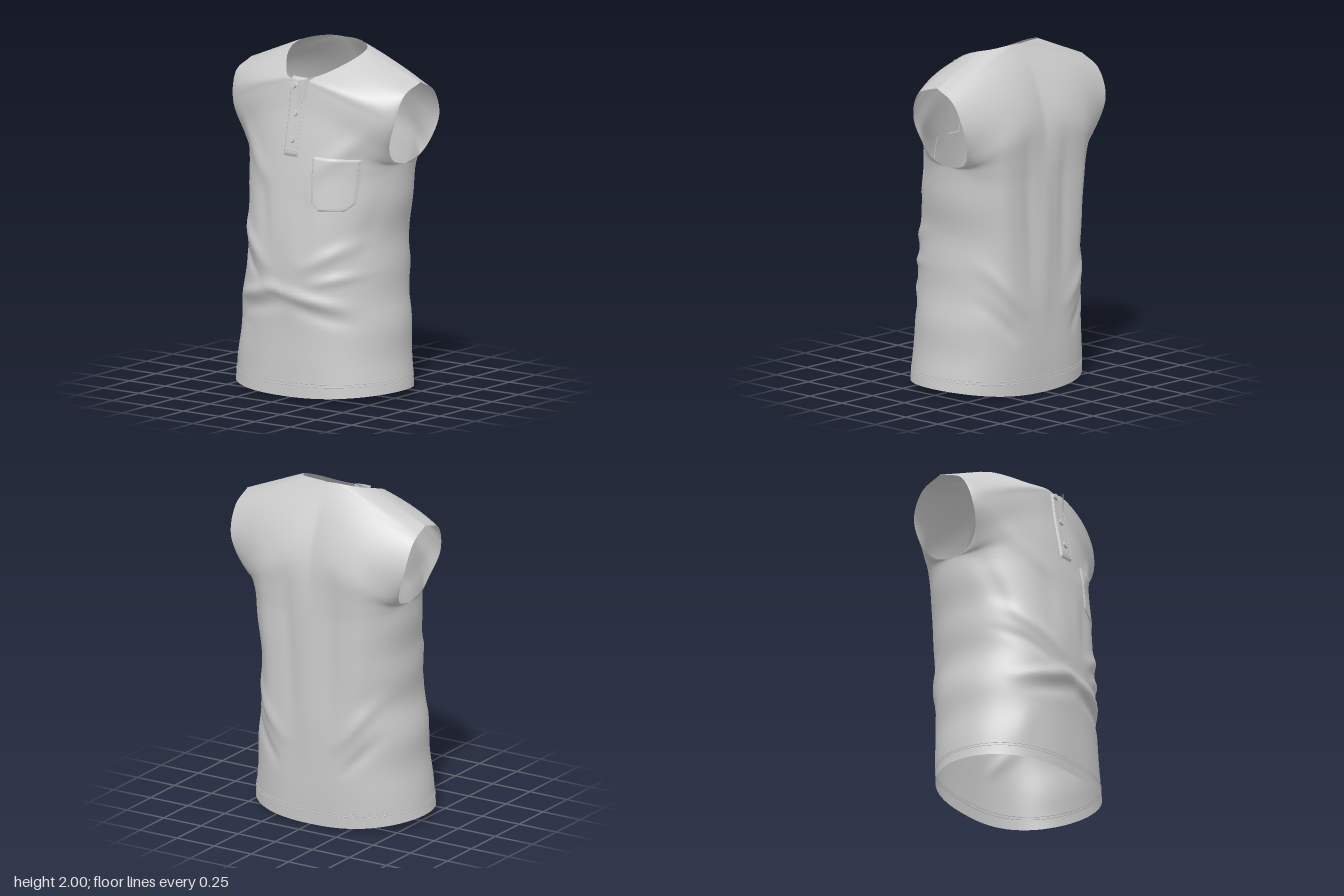
import * as THREE from 'three';
import { mergeGeometries, mergeVertices } from 'three/addons/utils/BufferGeometryUtils.js';

const V = (p) => new THREE.Vector3(...p);
const curve = (pts) => new THREE.CatmullRomCurve3(pts.map(V));
const lerp = THREE.MathUtils.lerp;
const clamp01 = (v) => Math.min(1, Math.max(0, v));
const cloth = new THREE.MeshStandardMaterial({ color: 0xcccccc, side: THREE.DoubleSide, roughness: 0.9 });

// Share of the rows that lies below the armholes
const BODY = 0.62;

// Side seam from hem to underarm, used by both panels
const sideSeam = curve([[0.535, 0.045, -0.02], [0.515, 0.2, -0.02], [0.495, 0.4, -0.03], [0.478, 0.6, -0.04],
  [0.455, 0.8, -0.05], [0.465, 1, -0.07], [0.482, 1.2, -0.09], [0.49, 1.34, -0.11]]);

// Each panel: centre line below the underarm, centre line up to the neck, half neckline, half armhole.
// Roundness at hem and underarm. Folds: x0, y0, x1, y1, width, height
const front = {
  face: 1, roundness: [2.6, 2.25], bulge: 0.012, neckAt: 0.6,
  low: curve([[0, 0.02, 0.4], [0, 0.2, 0.395], [0, 0.4, 0.39], [0, 0.6, 0.395], [0, 0.8, 0.395],
    [0, 1, 0.382], [0, 1.2, 0.355], [0, 1.36, 0.335]]),
  high: curve([[0, 1.36, 0.335], [0, 1.5, 0.308], [0, 1.66, 0.275], [0, 1.82, 0.255]]),
  neck: curve([[0, 1.82, 0.255], [0.07, 1.835, 0.245], [0.14, 1.865, 0.17], [0.21, 1.915, 0.065], [0.238, 1.95, -0.02], [0.235, 1.972, -0.09]]),
  arm: curve([[0.49, 1.34, -0.11], [0.493, 1.37, 0], [0.51, 1.45, 0.07], [0.565, 1.6, 0.1], [0.593, 1.765, 0.04], [0.6, 1.823, -0.11]]),
  folds: [[-0.42, 0.54, 0.0, 0.65, 0.035, 0.02], [-0.18, 0.66, 0.42, 0.53, 0.035, 0.02], [-0.4, 0.46, 0.05, 0.57, 0.04, -0.012],
    [0.02, 0.55, 0.45, 0.44, 0.04, -0.012], [-0.46, 1.05, -0.08, 0.72, 0.04, 0.016], [-0.47, 0.9, -0.15, 0.66, 0.03, -0.012],
    [0.47, 0.95, 0.08, 0.74, 0.04, 0.015], [0.48, 0.75, 0.14, 0.67, 0.03, 0.014], [-0.52, 1.62, -0.12, 1.2, 0.05, 0.012],
    [0.52, 1.62, 0.1, 1.25, 0.05, 0.012], [-0.49, 1.4, -0.36, 0.85, 0.03, -0.014], [0.49, 1.3, 0.4, 0.8, 0.03, -0.014],
    [-0.2, 1.3, -0.13, 0.85, 0.05, -0.01], [0.14, 1.2, 0.1, 0.8, 0.05, -0.01], [-0.3, 0.4, -0.4, 0.1, 0.06, 0.01]],
};
const back = {
  face: -1, roundness: [2.8, 3.8], bulge: 0.045, neckAt: 0.85,
  low: curve([[0, 0, -0.385], [0, 0.2, -0.395], [0, 0.4, -0.4], [0, 0.6, -0.405], [0, 0.8, -0.405],
    [0, 1, -0.405], [0, 1.2, -0.405], [0, 1.36, -0.405]]),
  high: curve([[0, 1.36, -0.405], [0, 1.52, -0.395], [0, 1.68, -0.355], [0, 1.85, -0.285], [0, 2, -0.2]]),
  neck: curve([[0, 2, -0.2], [0.1, 1.998, -0.19], [0.19, 1.985, -0.15], [0.235, 1.972, -0.09]]),
  arm: curve([[0.49, 1.34, -0.11], [0.5, 1.37, -0.22], [0.53, 1.44, -0.28], [0.585, 1.6, -0.305], [0.6, 1.755, -0.235], [0.6, 1.823, -0.11]]),
  folds: [[-0.33, 1.65, -0.27, 0.4, 0.06, 0.014], [0.33, 1.65, 0.27, 0.4, 0.06, 0.014], [-0.16, 1.6, -0.13, 0.5, 0.05, -0.014],
    [0.17, 1.6, 0.12, 0.5, 0.05, -0.014], [0, 1.5, 0.02, 0.3, 0.05, 0.008], [-0.46, 0.85, -0.15, 0.45, 0.04, 0.014],
    [0.46, 0.85, 0.15, 0.45, 0.04, 0.014], [-0.45, 0.6, -0.2, 0.3, 0.035, -0.012], [0.45, 0.6, 0.2, 0.3, 0.035, -0.012]],
};

// Height of the cloth folds at a point of a panel
function foldHeight(folds, x, y) {
  let sum = 0;
  for (const [x0, y0, x1, y1, width, height] of folds) {
    const dx = x1 - x0, dy = y1 - y0, len = Math.hypot(dx, dy);
    const u = clamp01(((x - x0) * dx + (y - y0) * dy) / (len * len));
    const d = ((x - x0) * dy - (y - y0) * dx) / len / width;
    sum += height * Math.exp(-d * d) * Math.sin(Math.PI * u);
  }
  return sum;
}

// Unfolded half panel: s = 0 at the centre to 1 at the edge, t = 0 at the hem to 1 at the shoulder
function basePoint(panel, s, t) {
  const k = clamp01((t - BODY) / (1 - BODY)), b = Math.min(1, t / BODY);
  const c = t <= BODY ? panel.low.getPoint(b)
    : k <= panel.neckAt ? panel.high.getPoint(k / panel.neckAt)
      : panel.neck.getPoint(clamp01((k - panel.neckAt) / (1 - panel.neckAt)));
  const e = t <= BODY ? sideSeam.getPoint(b) : panel.arm.getPoint(k);
  const n = lerp(lerp(...panel.roundness, b), 1, k ** 1.5), m = lerp(2, 1, k);
  const f = Math.max(0, 1 - s ** n) ** (1 / m);
  const p = new THREE.Vector3(lerp(c.x, e.x, s), lerp(c.y, e.y, lerp(s * s, s, k)), lerp(e.z, c.z, f));
  p.z += panel.face * panel.bulge * Math.sin(Math.PI * s) * Math.sin(Math.PI * k);
  return p;
}

// Finished point on the side +1 or -1, softened across the underarm line and folded
function shellPoint(panel, side, s, t) {
  const reach = 0.11 * (1 - s ** 12) * Math.max(0, 1 - Math.abs(t - BODY) / 0.2);
  const p = new THREE.Vector3();
  for (let i = -3; i <= 3; i++) p.addScaledVector(basePoint(panel, s, t + reach * i / 3), (4 - Math.abs(i)) / 16);
  p.x *= side;
  const out = new THREE.Vector3(p.x, 0, p.z + 0.05).normalize();
  // both panels share one gentle ripple along the side seam
  const ripple = 0.008 * Math.sin(p.y * 17 + side) * Math.sin(Math.PI * Math.min(1, t / BODY)) * s ** 4;
  return p.addScaledVector(out, foldHeight(panel.folds, p.x, p.y) * (1 - s ** 6) + ripple);
}

// Grid surface from a point function
function grid(cols, rows, point, flip = false) {
  const pos = [], idx = [], w = cols + 1;
  for (let j = 0; j <= rows; j++) for (let i = 0; i <= cols; i++) pos.push(...point(i / cols, j / rows).toArray());
  for (let j = 0; j < rows; j++) for (let i = 0; i < cols; i++) {
    const a = j * w + i, b = a + 1, c = a + w, d = c + 1;
    idx.push(...(flip ? [a, d, b, a, c, d] : [a, b, d, a, d, c]));
  }
  const g = new THREE.BufferGeometry();
  g.setAttribute('position', new THREE.Float32BufferAttribute(pos, 3));
  g.setIndex(idx);
  g.computeVertexNormals();
  return g;
}

export function createModel() {
  const model = new THREE.Group();
  const add = (name, geometry) => {
    const mesh = new THREE.Mesh(geometry, cloth);
    mesh.name = name;
    model.add(mesh);
    return mesh;
  };
  const thread = (name, points, closed = false, r = 0.002) =>
    add(name, new THREE.TubeGeometry(new THREE.CatmullRomCurve3(points, closed), points.length * 2, r, 5, closed));

  // Body of the shirt: four quarter panels welded into one smooth shell
  const quarters = [];
  for (const panel of [front, back]) for (const side of [1, -1]) {
    const g = grid(44, 120, (u, t) => shellPoint(panel, side, Math.sin(u * Math.PI / 2), t), side * panel.face < 0);
    g.deleteAttribute('normal');
    quarters.push(g);
  }
  const shell = mergeVertices(mergeGeometries(quarters), 1e-4);
  shell.computeVertexNormals();
  const body = add('shirtBody', shell);

  // Depth of the front cloth under a point
  const ray = new THREE.Raycaster();
  const onFront = (x, y, lift = 0) => {
    ray.set(new THREE.Vector3(x, y, 2), new THREE.Vector3(0, 0, -1));
    const hit = ray.intersectObject(body)[0];
    return new THREE.Vector3(x, y, (hit && hit.point.z > 0 ? hit.point.z : 0.25) + lift);
  };

  // Sewn-on patch that follows the front, its rim dropped to the cloth
  const patch = (name, cols, rows, lift, xy) => add(name, grid(cols, rows, (u, v) => {
    const rim = u === 0 || u === 1 || v === 0 || v === 1;
    return onFront(...xy(u, v), rim ? -0.003 : lift);
  }));

  // Chest pocket with cut lower corners
  const pocketXY = (u, v) => {
    const cut = 0.05 * Math.max(0, 1 - v / 0.16);
    return [lerp(lerp(0.16, 0.148, v) + cut, lerp(0.378, 0.402, v) - cut, u), lerp(1.095, lerp(1.412, 1.398, u), v)];
  };
  patch('chestPocket', 24, 26, 0.007, pocketXY);
  const rim = [];
  for (let i = 0; i <= 12; i++) rim.push([0.05, 0.95 - 0.9 * i / 12]);
  for (let i = 1; i <= 8; i++) rim.push([0.05 + 0.9 * i / 8, 0.05]);
  for (let i = 1; i <= 12; i++) rim.push([0.95, 0.05 + 0.9 * i / 12]);
  thread('pocketStitching', rim.map(([u, v]) => onFront(...pocketXY(u, v), 0.007)));

  // Button placket with its stitched edges
  patch('placket', 12, 30, 0.01, (u, v) => [lerp(-0.043, 0.06, u), lerp(1.392, 1.815, v)]);
  for (const x of [-0.034, 0.051]) {
    thread('placketStitching', Array.from({ length: 14 }, (_, i) => onFront(x, 1.405 + i * 0.03, 0.01)));
  }
  thread('placketStitching', [-0.034, 0.008, 0.051].map((x) => onFront(x, 1.428, 0.01)));

  // Buttons
  for (const [x, y] of [[0.01, 1.49], [0.01, 1.64], [-0.015, 1.795]]) {
    const button = add('button', new THREE.CylinderGeometry(0.018, 0.02, 0.012, 16));
    button.position.copy(onFront(x, y, 0.015));
    button.rotation.x = Math.PI / 2 - 0.2;
  }

  // Loose neck corners at the top of the placket
  const sheet = (name, a, b, c, d) => add(name, grid(6, 6, (u, v) => {
    const p = V(a).lerp(V(b), u).lerp(V(c).lerp(V(d), u), v);
    p.z += 0.008 * Math.sin(Math.PI * u);
    return p;
  }));
  sheet('neckFlap', [0.035, 1.7, 0.28], [0.06, 1.71, 0.265], [0.025, 1.825, 0.29], [0.1, 1.843, 0.23]);
  sheet('neckTab', [-0.05, 1.8, 0.262], [0.01, 1.8, 0.275], [-0.06, 1.835, 0.21], [0.04, 1.83, 0.205]);

  // Double stitching around the hem, laid on the rows of the shell
  for (const row of [4, 5]) {
    const loop = [];
    for (const [panel, side, forward] of [[front, 1, true], [back, 1, false], [back, -1, true], [front, -1, false]]) {
      for (let i = 0; i < 44; i++) {
        const a = (forward ? i : 44 - i) / 44 * Math.PI / 2;
        loop.push(shellPoint(panel, side, Math.sin(a), row / 120));
      }
    }
    thread('hemStitching', loop, true);
  }

  // Shoulder seams
  for (const side of [1, -1]) {
    thread('shoulderSeam', Array.from({ length: 12 }, (_, i) => shellPoint(front, side, i / 11, 1)), false, 0.0012);
  }
  return model;
}
